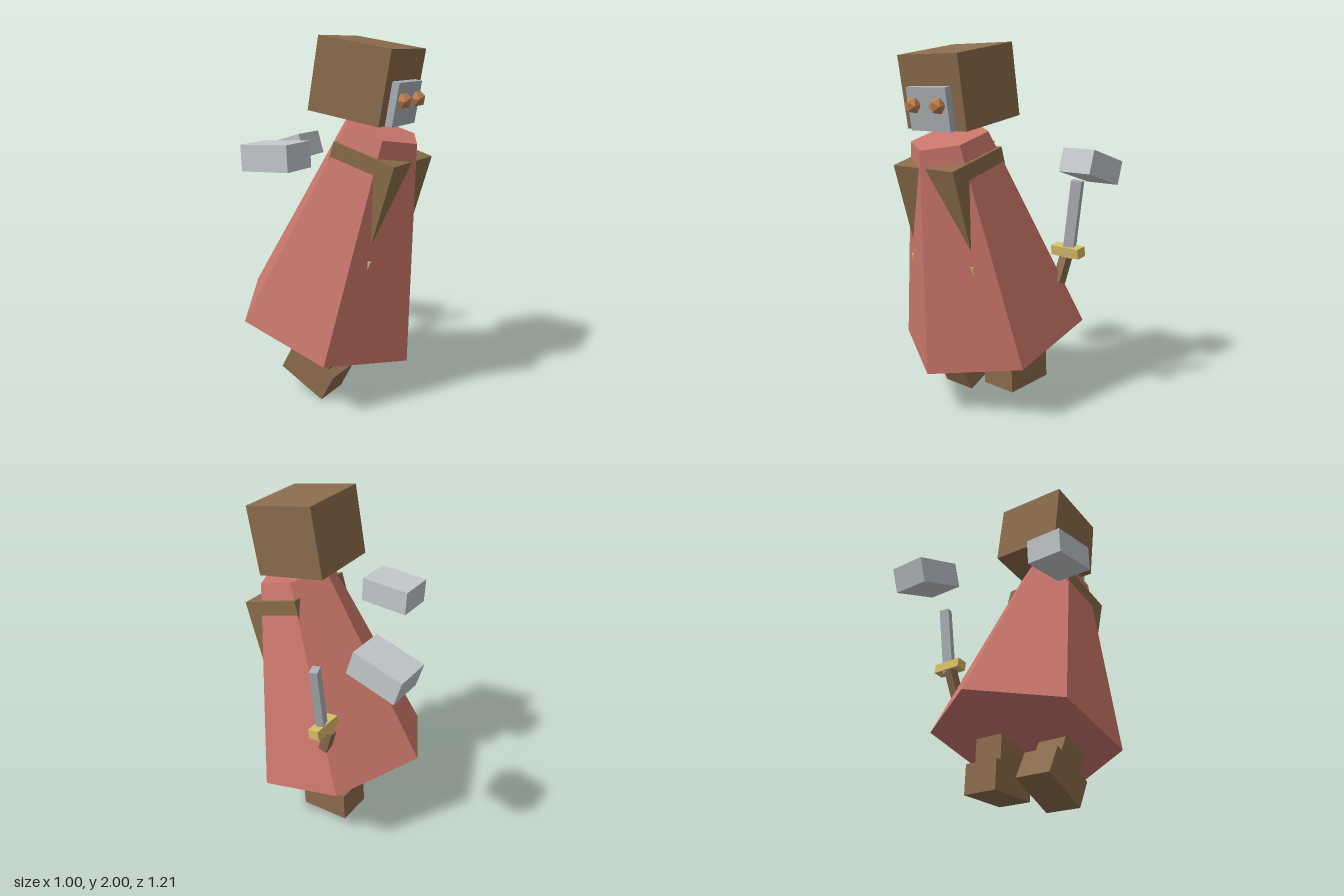
import * as THREE from 'three';

const mat = (name, color) => {
  const m = new THREE.MeshStandardMaterial({ color, flatShading: true });
  m.name = name;
  return m;
};

export function createModel() {
  const brown = mat('brown', 0x8c6c4d);
  const leather = mat('leather', 0x896d48);
  const red = mat('cape red', 0xc9766b);
  const paleGrey = mat('pale grey', 0xc4c9cc);
  const steel = mat('steel', 0xabb1b4);
  const gold = mat('gold', 0xd6bd66);
  const copper = mat('copper', 0xc0804f);

  const model = new THREE.Group();
  const YAW = 0.055; // the whole figure turns slightly to its left

  const mesh = (parent, name, geometry, material, pos, rot = [0, 0, 0]) => {
    const m = new THREE.Mesh(geometry, material);
    m.name = name;
    m.position.set(...pos);
    m.rotation.set(...rot, 'YXZ');
    parent.add(m);
    return m;
  };
  const box = (parent, name, size, material, pos, rot) =>
    mesh(parent, name, new THREE.BoxGeometry(...size), material, pos, rot);
  const group = (name, pos, pitch, yaw = YAW) => {
    const g = new THREE.Group();
    g.name = name;
    g.position.set(...pos);
    g.rotation.set(pitch, yaw, 0, 'YXZ');
    model.add(g);
    return g;
  };

  // Body leaning forward: six-sided cape with the torso corners poking through
  const body = group('body', [-0.01, 0.945, 0.225], 0.285);
  mesh(body, 'cape', new THREE.CylinderGeometry(0.218, 0.537, 1.177, 6), red, [0, 0, 0]);
  box(body, 'torso', [0.46, 0.6, 0.37], leather, [0, 0.195, 0.045]);
  box(body, 'belt', [0.49, 0.08, 0.424], gold, [0, -0.069, 0.045]);

  // Head with face plate and faceted eyes
  const head = group('head', [-0.013, 1.775, 0.305], 0.167, 0.09);
  box(head, 'skull', [0.437, 0.39, 0.42], brown, [0, 0, 0]);
  box(head, 'facePlate', [0.29, 0.228, 0.06], steel, [0, -0.08, 0.22]);
  for (const side of [-1, 1]) {
    mesh(head, side < 0 ? 'rightEye' : 'leftEye', new THREE.IcosahedronGeometry(0.046, 0),
      copper, [side * 0.09, -0.057, 0.265]);
  }

  // Floating hands
  const handSize = [0.22, 0.142, 0.295];
  box(model, 'rightHand', handSize, paleGrey, [-0.37, 1.377, -0.037], [-0.06, YAW, 0]);
  box(model, 'leftHand', handSize, paleGrey, [0.293, 1.31, -0.435], [-0.3, YAW, 0]);

  // Legs in mid stride, each with a foot
  const leg = (name, pos, pitch) => {
    const g = group(name, pos, pitch);
    box(g, 'foot', [0.215, 0.17, 0.3], brown, [0, 0, 0]);
    box(g, 'shin', [0.18, 0.36, 0.19], brown, [0, 0.265, 0]);
  };
  leg('rightLeg', [-0.18, 0.147, 0.097], 0.48);
  leg('leftLeg', [0.138, 0.167, 0.025], 0.05);

  // Sword
  const sword = new THREE.Group();
  sword.name = 'sword';
  model.add(sword);
  box(sword, 'blade', [0.06, 0.435, 0.045], steel, [0.435, 1.055, -0.118], [0.04, 0.35, -0.12]);
  box(sword, 'guard', [0.185, 0.055, 0.065], gold, [0.402, 0.875, -0.118], [0.15, YAW, 0]);
  box(sword, 'handle', [0.05, 0.16, 0.055], brown, [0.368, 0.767, -0.115], [-0.3, YAW, -0.1]);

  return model;
}
